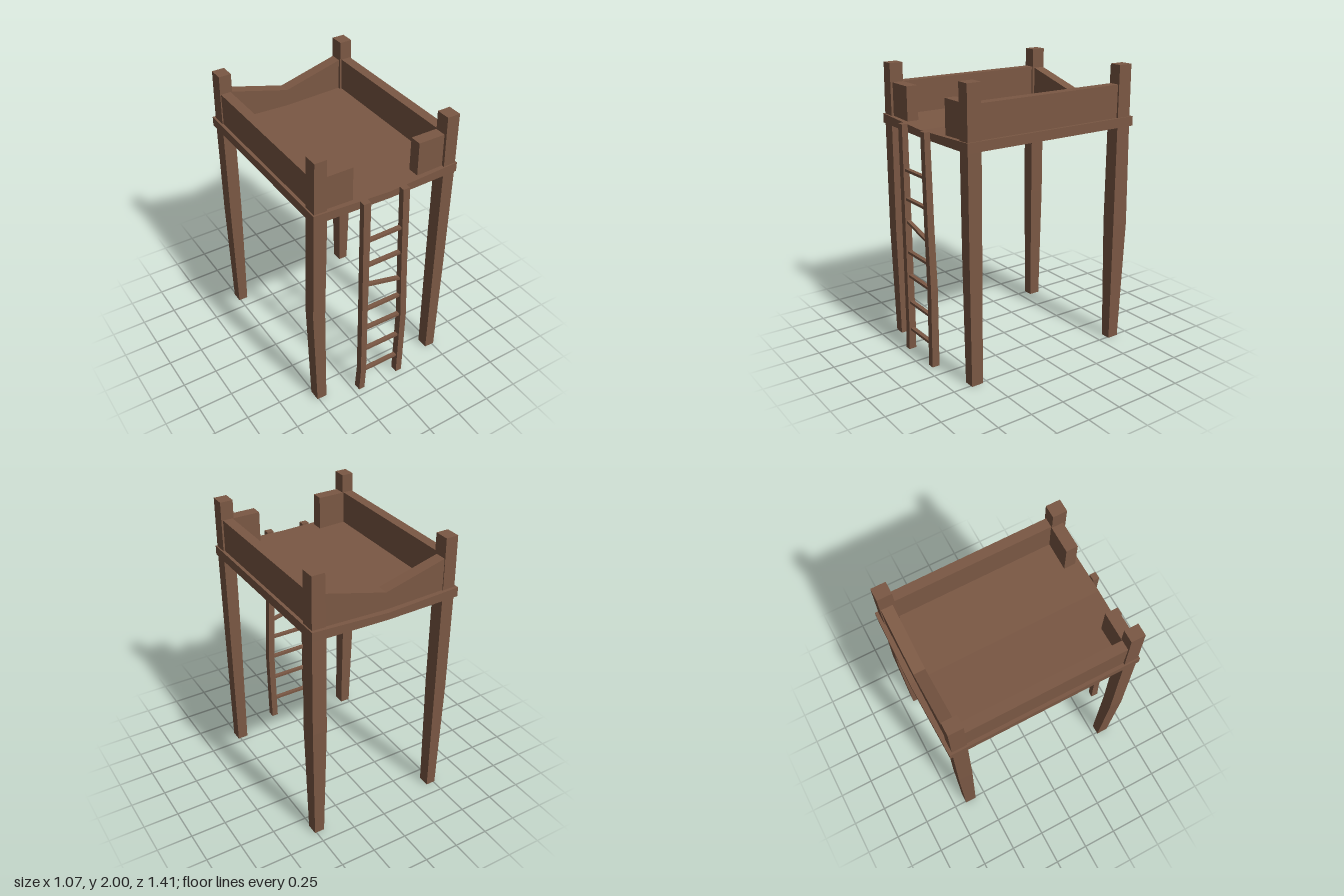
import * as THREE from 'three';

const wood = new THREE.MeshStandardMaterial({ color: 0x7b5844, side: THREE.DoubleSide });
wood.name = 'brown wood';

function addMesh(parent, name, geometry) {
  const mesh = new THREE.Mesh(geometry, wood);
  mesh.name = name;
  parent.add(mesh);
  return mesh;
}

// Skin stacked rings of [x, y, z] corners; closed on top, open underneath.
function loft(rings) {
  const pos = [];
  const n = rings[0].length;
  const tri = (a, b, c) => pos.push(...a, ...b, ...c);
  for (let r = 0; r < rings.length - 1; r++) {
    const lo = rings[r], hi = rings[r + 1];
    for (let i = 0; i < n; i++) {
      const j = (i + 1) % n;
      tri(lo[i], lo[j], hi[j]);
      tri(lo[i], hi[j], hi[i]);
    }
  }
  const top = rings[rings.length - 1];
  for (let k = 2; k < n; k++) tri(top[1], top[k], top[(k + 1) % n]);
  const g = new THREE.BufferGeometry();
  g.setAttribute('position', new THREE.Float32BufferAttribute(pos, 3));
  g.computeVertexNormals();
  return g;
}

// Square timber from sections [y, x0, x1, z0, z1].
function timber(sections) {
  return loft(sections.map(([y, x0, x1, z0, z1]) =>
    [[x0, y, z1], [x1, y, z1], [x1, y, z0], [x0, y, z0]]));
}

function addBox(parent, name, x0, x1, y0, y1, z0, z1) {
  const mesh = addMesh(parent, name, new THREE.BoxGeometry(x1 - x0, y1 - y0, z1 - z0));
  mesh.position.set((x0 + x1) / 2, (y0 + y1) / 2, (z0 + z1) / 2);
}

export function createModel() {
  const model = new THREE.Group();
  model.name = 'bunkPlatform';

  // Four hand-hewn posts
  addMesh(model, 'frontLeftPost', timber([
    [0, 0.44, 0.515, 0.535, 0.62], [0.85, 0.435, 0.52, 0.535, 0.63],
    [1.58, 0.435, 0.523, 0.535, 0.635], [2, 0.43, 0.522, 0.535, 0.635]]));
  addMesh(model, 'frontRightPost', timber([
    [0, -0.51, -0.437, 0.535, 0.62], [0.8, -0.538, -0.447, 0.533, 0.627],
    [1.58, -0.525, -0.432, 0.535, 0.632], [2, -0.515, -0.43, 0.535, 0.632]]));
  addMesh(model, 'backLeftPost', timber([
    [0, 0.44, 0.512, -0.66, -0.577], [0.88, 0.428, 0.53, -0.68, -0.56],
    [1.58, 0.425, 0.523, -0.672, -0.565], [2, 0.43, 0.52, -0.67, -0.568]]));
  addMesh(model, 'backRightPost', timber([
    [0, -0.51, -0.44, -0.66, -0.577], [0.88, -0.52, -0.43, -0.672, -0.568],
    [1.58, -0.52, -0.43, -0.672, -0.568], [2, -0.515, -0.427, -0.67, -0.568]]));

  // Platform, bowed at the ends and slightly sagging in the middle
  const ring = (yEdge, yMid) => [
    [-0.533, yEdge, 0.643], [0, yMid, 0.655], [0.533, yEdge, 0.643],
    [0.533, yEdge, -0.693], [0, yMid, -0.705], [-0.533, yEdge, -0.693]];
  addMesh(model, 'platform', loft([ring(1.58, 1.578), ring(1.645, 1.627)]));

  // Side boards and short front boards
  for (const [side, s] of [['left', 1], ['right', -1]]) {
    const span = (a, b) => (s > 0 ? [a, b] : [-b, -a]);
    addBox(model, side + 'SideBoard', ...span(0.44, 0.51), 1.61, 1.87, -0.62, 0.58);
    addBox(model, side + 'FrontBoard', ...span(0.24, 0.445), 1.61, 1.87, 0.533, 0.615);
  }

  // Back board, dipping in the middle
  const shape = new THREE.Shape([[-0.45, 1.61], [0.45, 1.61], [0.45, 1.867], [0, 1.747], [-0.45, 1.867]]
    .map(([x, y]) => new THREE.Vector2(x, y)));
  const back = addMesh(model, 'backBoard',
    new THREE.ExtrudeGeometry(shape, { depth: 0.08, bevelEnabled: false }));
  back.position.z = -0.665;

  // Ladder
  const ladder = new THREE.Group();
  ladder.name = 'ladder';
  model.add(ladder);
  addMesh(ladder, 'rightLadderRail', timber([
    [0.005, -0.215, -0.17, 0.65, 0.705], [0.18, -0.204, -0.16, 0.652, 0.704],
    [0.6, -0.206, -0.163, 0.653, 0.703], [1.64, -0.216, -0.164, 0.657, 0.7]]));
  addMesh(ladder, 'leftLadderRail', timber([
    [0.005, 0.105, 0.152, 0.65, 0.705], [0.57, 0.112, 0.16, 0.652, 0.704],
    [1.0, 0.094, 0.14, 0.654, 0.703], [1.64, 0.073, 0.123, 0.657, 0.7]]));

  // Rungs: height at right end, height at left end, left end x
  const rungs = [
    [0.163, 0.163, 0.11], [0.37, 0.368, 0.11], [0.57, 0.565, 0.12], [0.745, 0.745, 0.11],
    [0.97, 0.898, 0.11], [1.128, 1.128, 0.1], [1.33, 1.333, 0.09]];
  for (const [ya, yb, xb] of rungs) {
    const xa = -0.18;
    const rung = addMesh(ladder, 'rung',
      new THREE.BoxGeometry(Math.hypot(xb - xa, yb - ya), 0.018, 0.03));
    rung.position.set((xa + xb) / 2, (ya + yb) / 2, 0.676);
    rung.rotation.z = Math.atan2(yb - ya, xb - xa);
  }
  return model;
}
